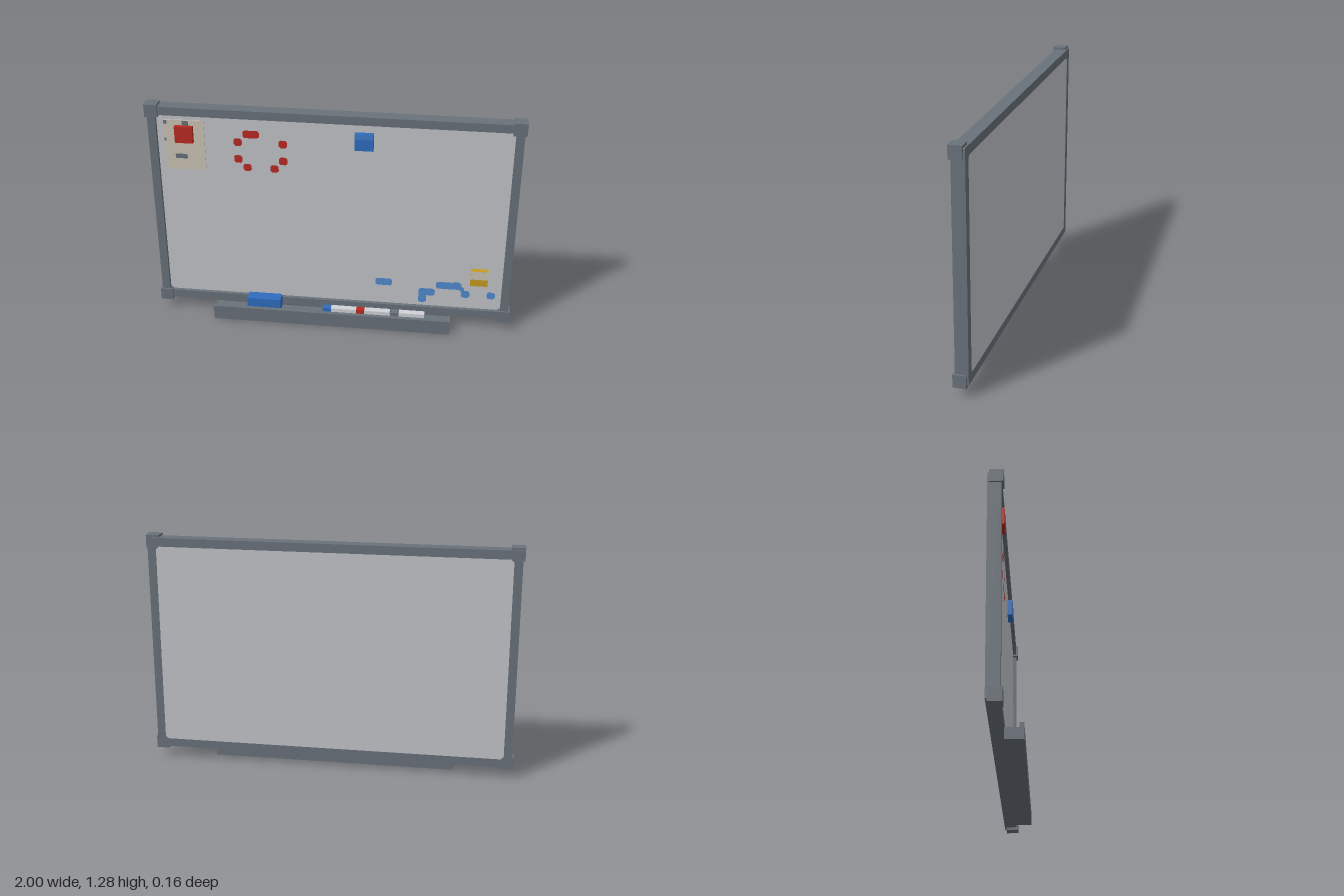
import * as THREE from 'three';

const material = (name, color) => {
  const m = new THREE.MeshStandardMaterial({ color });
  m.name = name;
  return m;
};

export function createModel() {
  const grey = material('frameGrey', 0x69717a);
  const boardMat = material('boardGrey', 0xc1c4c9);
  const blue = material('blue', 0x2f6dbf);
  const lightBlue = material('lightBlue', 0x3f7dc8);
  const red = material('red', 0xb82a22);
  const yellow = material('yellow', 0xc69b22);
  const paperMat = material('paper', 0xcbc3b5);
  const ink = material('inkBlue', 0x4f8acf);
  const white = material('penWhite', 0xcfd2d6);

  const root = new THREE.Group();
  root.name = 'whiteboard';
  const FACE = -0.03; // front surface of the writing board

  const add = (name, geometry, mat, parent = root) => {
    const mesh = new THREE.Mesh(geometry, mat);
    mesh.name = name;
    parent.add(mesh);
    return mesh;
  };
  const group = (name) => {
    const g = new THREE.Group();
    g.name = name;
    root.add(g);
    return g;
  };
  // Box given by its two extreme corners
  const box = (name, mat, [x0, y0, z0], [x1, y1, z1], parent) => {
    const g = new THREE.BoxGeometry(x1 - x0, y1 - y0, z1 - z0);
    g.translate((x0 + x1) / 2, (y0 + y1) / 2, (z0 + z1) / 2);
    return add(name, g, mat, parent);
  };
  // Rectangle with cut corners
  const cutRect = (x0, y0, x1, y1, c) => [
    [x0 + c, y0], [x1 - c, y0], [x1, y0 + c], [x1, y1 - c],
    [x1 - c, y1], [x0 + c, y1], [x0, y1 - c], [x0, y0 + c],
  ].map(([x, y]) => new THREE.Vector2(x, y));
  // Flat drawn mark on the board
  const mark = (name, mat, [x0, y0, x1, y1], z, parent, cut = 0.01) => {
    const g = new THREE.ShapeGeometry(new THREE.Shape(cutRect(x0, y0, x1, y1, cut)));
    add(name, g.translate(0, 0, z), mat, parent);
  };

  // Frame with a window, the board inside it, and corner caps
  const outline = new THREE.Shape(cutRect(-0.99, 0.066, 0.99, 1.267, 0.001));
  outline.holes.push(new THREE.Path(cutRect(-0.945, 0.112, 0.945, 1.22, 0.015)));
  const frame = new THREE.ExtrudeGeometry(outline, { depth: 0.07, bevelEnabled: false });
  add('frame', frame.translate(0, 0, -0.08), grey);
  box('board', boardMat, [-0.95, 0.107, -0.079], [0.95, 1.225, FACE]);
  const caps = group('cornerCaps');
  for (const x of [-1, 0.93])
    for (const y of [0.05, 1.21])
      box('cornerCap', grey, [x, y, -0.07], [x + 0.07, y + 0.07, 0], caps);

  // Tray: profile in z and y, swept along x
  const profile = new THREE.Shape([
    [-0.01, 0], [0.085, 0], [0.085, 0.085], [0.063, 0.085], [0.063, 0.06], [-0.01, 0.06],
  ].map(([z, y]) => new THREE.Vector2(z, y)));
  const tray = new THREE.ExtrudeGeometry(profile, { depth: 1.34, bevelEnabled: false });
  add('tray', tray.rotateY(-Math.PI / 2).translate(0.67, 0, 0), grey);

  // Eraser and three pens lying end to end on the tray
  box('eraser', blue, [-0.48, 0.06, -0.008], [-0.29, 0.135, 0.057]);
  const pens = group('pens');
  [[-0.05, blue], [0.14, red], [0.335, grey]].forEach(([x, cap]) => {
    box('penCap', cap, [x, 0.06, 0.011], [x + 0.047, 0.096, 0.047], pens);
    box('penBody', white, [x + 0.047, 0.06, 0.011], [x + 0.19, 0.096, 0.047], pens);
  });

  // Pinned paper with small grey marks
  box('paper', paperMat, [-0.905, 0.9, FACE], [-0.69, 1.19, FACE + 0.005]);
  const notes = group('paperMarks');
  for (const r of [
    [-0.908, 1.165, -0.888, 1.187], [-0.808, 1.16, -0.772, 1.187],
    [-0.908, 1.065, -0.896, 1.085], [-0.853, 0.965, -0.787, 0.992],
  ]) mark('paperMark', grey, r, FACE + 0.007, notes, 0.004);

  // Magnets
  box('redMagnet', red, [-0.846, 1.066, FACE], [-0.748, 1.16, -0.002]);
  box('blueMagnet', blue, [0.116, 1.077, FACE], [0.215, 1.171, -0.002]);
  mark('blueMagnetStripe', lightBlue, [0.116, 1.142, 0.215, 1.171], -0.001, root, 0);
  box('yellowMagnet', yellow, [0.768, 0.28, FACE], [0.864, 0.376, -0.002]);
  mark('yellowMagnetLabel', paperMat, [0.768, 0.323, 0.864, 0.376], -0.001, root, 0);

  // Red dashed ring
  const ring = group('redRing');
  for (const r of [
    [-0.483, 1.104, -0.394, 1.148], [-0.533, 1.055, -0.488, 1.1], [-0.29, 1.055, -0.245, 1.1],
    [-0.533, 0.955, -0.488, 1.0], [-0.29, 0.955, -0.245, 1.0],
    [-0.484, 0.907, -0.44, 0.951], [-0.338, 0.907, -0.293, 0.951],
  ]) mark('redDash', red, r, FACE + 0.003, ring);

  // Blue scribbles
  const scribble = group('blueScribble');
  for (const r of [
    [0.24, 0.231, 0.335, 0.276], [0.485, 0.181, 0.576, 0.227], [0.485, 0.133, 0.529, 0.2],
    [0.58, 0.231, 0.722, 0.276], [0.67, 0.24, 0.715, 0.281], [0.712, 0.218, 0.738, 0.25],
    [0.722, 0.181, 0.77, 0.227], [0.864, 0.183, 0.911, 0.227],
  ]) mark('blueDash', ink, r, FACE + 0.003, scribble);

  return root;
}
